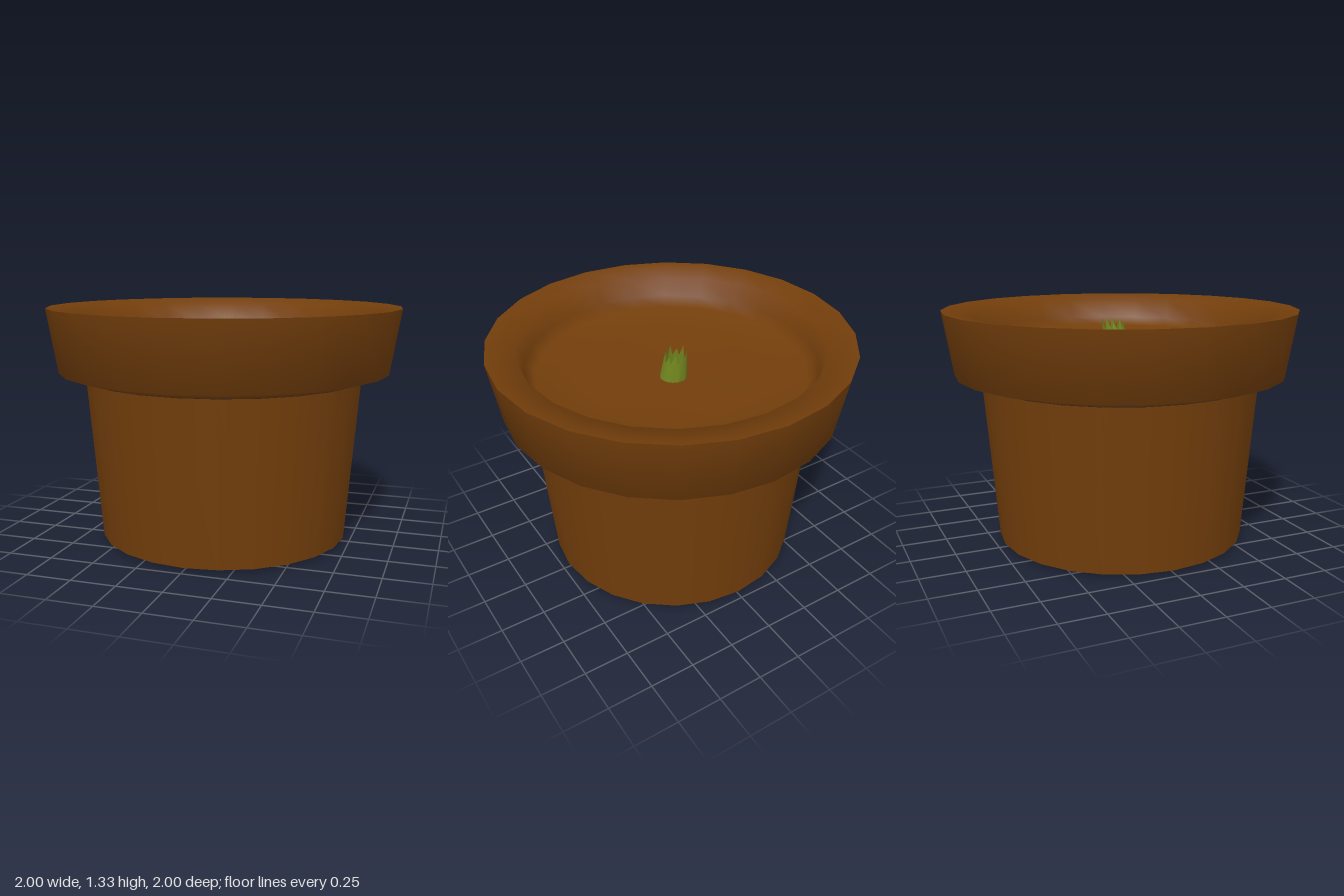
import * as THREE from 'three';

const SIDES = 24;

export function createModel() {
  const clay = new THREE.MeshStandardMaterial({ color: 0x733e0b });
  clay.name = 'brownClay';
  const green = new THREE.MeshStandardMaterial({ color: 0x768b20, side: THREE.DoubleSide });
  green.name = 'leafGreen';

  const model = new THREE.Group();
  model.name = 'flowerPot';

  // Each turned section is its own smooth surface, so its borders stay sharp
  function turned(name, profile) {
    const points = profile.map(([r, y]) => new THREE.Vector2(r, y));
    const mesh = new THREE.Mesh(new THREE.LatheGeometry(points, SIDES), clay);
    mesh.name = name;
    model.add(mesh);
  }
  turned('base', [[0, 0], [0.715, 0.018]]);
  turned('potBody', [[0.715, 0.018], [0.79, 0.925]]);
  turned('rim', [[0.785, 0.925], [0.94, 0.97], [1, 1.33]]);

  // Lip, steep inner wall and dished soil
  turned('lipAndSoil', [
    [1, 1.33], [0.835, 1.305], [0.805, 1.19], [0.75, 1.14], [0.5, 1.11], [0, 1.095],
  ]);

  // Hollow sprout: tapered tube with a jagged, slightly leaning top
  const teeth = 10;
  const height = 0.17;
  const tube = new THREE.CylinderGeometry(0.06, 0.075, height, teeth * 2, 1, true);
  tube.translate(0, height / 2, 0);
  const pos = tube.attributes.position;
  for (let i = 0; i <= teeth * 2; i++) {
    const valley = i % 2 === 1;
    pos.setY(i, valley ? height - 0.06 : height + 0.012 * Math.cos(i * Math.PI / 2));
    pos.setZ(i, pos.getZ(i) - (valley ? 0.015 : 0.03));
  }
  tube.computeVertexNormals();
  const sprout = new THREE.Mesh(tube, green);
  sprout.name = 'sprout';
  sprout.position.set(0, 1.095, -0.02);
  model.add(sprout);

  return model;
}
